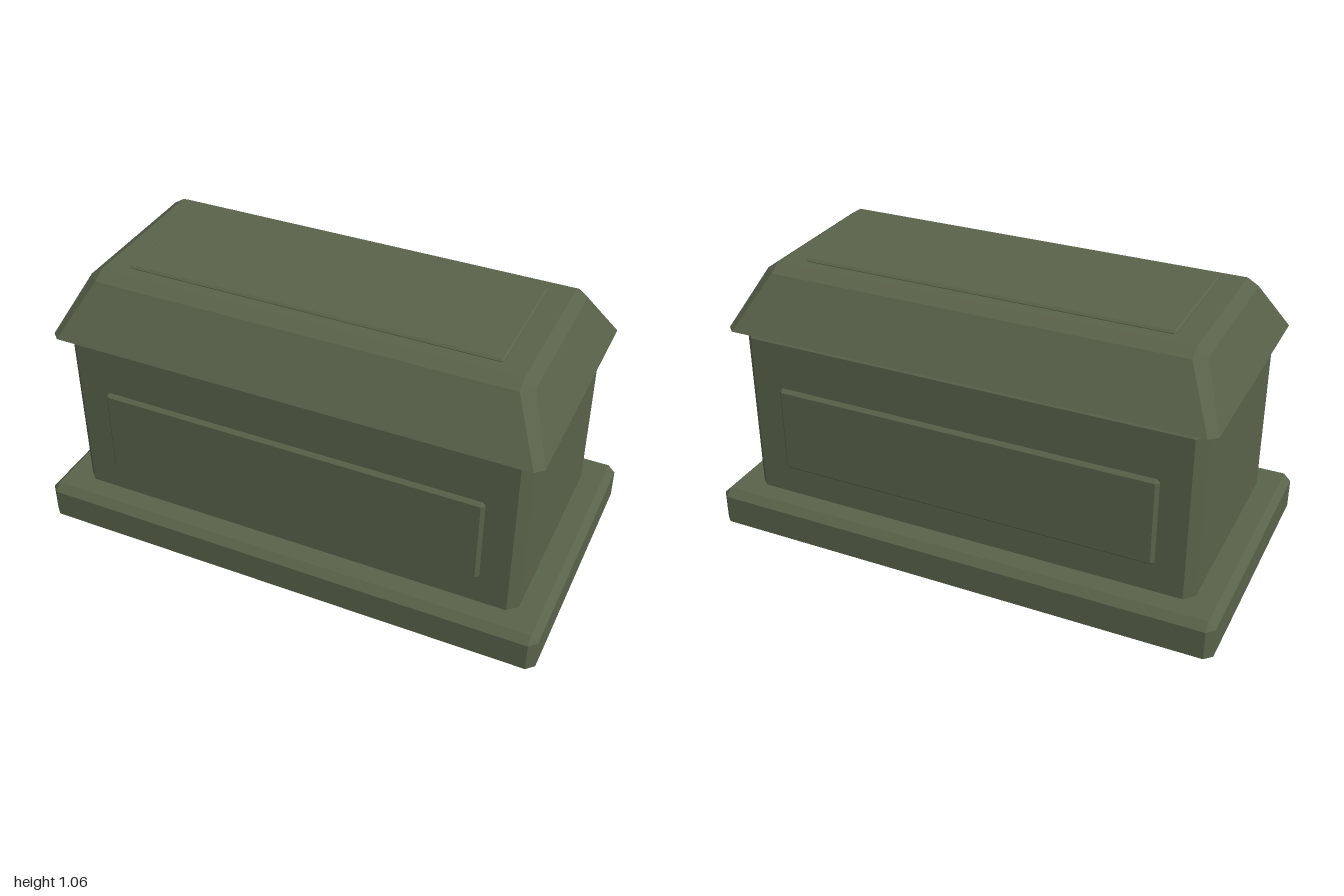
import * as THREE from 'three';

const stone = new THREE.MeshStandardMaterial({ color: 0x59624a });
stone.name = 'mossy stone';

// Eight-cornered outline at height y: half sizes hx, hz and corner cut c
function ring([y, hx, hz, c]) {
  const x = hx - c, z = hz - c;
  return [
    [hx, z], [hx, -z], [x, -hz], [-x, -hz],
    [-hx, -z], [-hx, z], [-x, hz], [x, hz],
  ].map(([px, pz]) => new THREE.Vector3(px, y, pz));
}

// Closed, flat-faced solid through a stack of outlines
function stack(name, levels) {
  const rings = levels.map(ring);
  const positions = [];
  const tri = (a, b, c) => {
    if (new THREE.Triangle(a, b, c).getArea() < 1e-7) return;
    for (const p of [a, b, c]) positions.push(p.x, p.y, p.z);
  };
  for (let k = 0; k < rings.length - 1; k++) {
    const a = rings[k], b = rings[k + 1];
    for (let i = 0; i < 8; i++) {
      const j = (i + 1) % 8;
      tri(a[i], a[j], b[j]);
      tri(a[i], b[j], b[i]);
    }
  }
  const bottom = rings[0], top = rings[rings.length - 1];
  for (let i = 1; i < 7; i++) {
    tri(bottom[0], bottom[i + 1], bottom[i]);
    tri(top[0], top[i], top[i + 1]);
  }
  const geometry = new THREE.BufferGeometry();
  geometry.setAttribute('position', new THREE.Float32BufferAttribute(positions, 3));
  geometry.computeVertexNormals();
  const mesh = new THREE.Mesh(geometry, stone);
  mesh.name = name;
  return mesh;
}

export function createModel() {
  const model = new THREE.Group();
  model.name = 'stoneTomb';

  // Plinth, chest and overhanging lid
  model.add(
    stack('plinth', [[0, 1, 0.533, 0.028], [0.115, 1, 0.533, 0.028], [0.143, 0.972, 0.505, 0]]),
    stack('chest', [[0.143, 0.891, 0.428, 0.036], [0.787, 0.891, 0.428, 0.036], [0.823, 0.855, 0.392, 0]]),
    stack('lid', [[0.823, 0.935, 0.47, 0.03], [1.023, 0.84, 0.34, 0.042], [1.05, 0.798, 0.295, 0]]),
    stack('lidPanel', [[1.045, 0.71, 0.246, 0.006], [1.053, 0.71, 0.246, 0.006], [1.06, 0.703, 0.239, 0]]),
  );

  // Raised panels on the two long sides
  for (const side of [1, -1]) {
    const panel = stack(side > 0 ? 'frontPanel' : 'backPanel',
      [[0.415, 0.746, 0.174, 0.012], [0.431, 0.746, 0.174, 0.012], [0.443, 0.734, 0.162, 0]]);
    panel.rotation.x = side * Math.PI / 2;
    panel.position.y = 0.43;
    model.add(panel);
  }
  return model;
}
